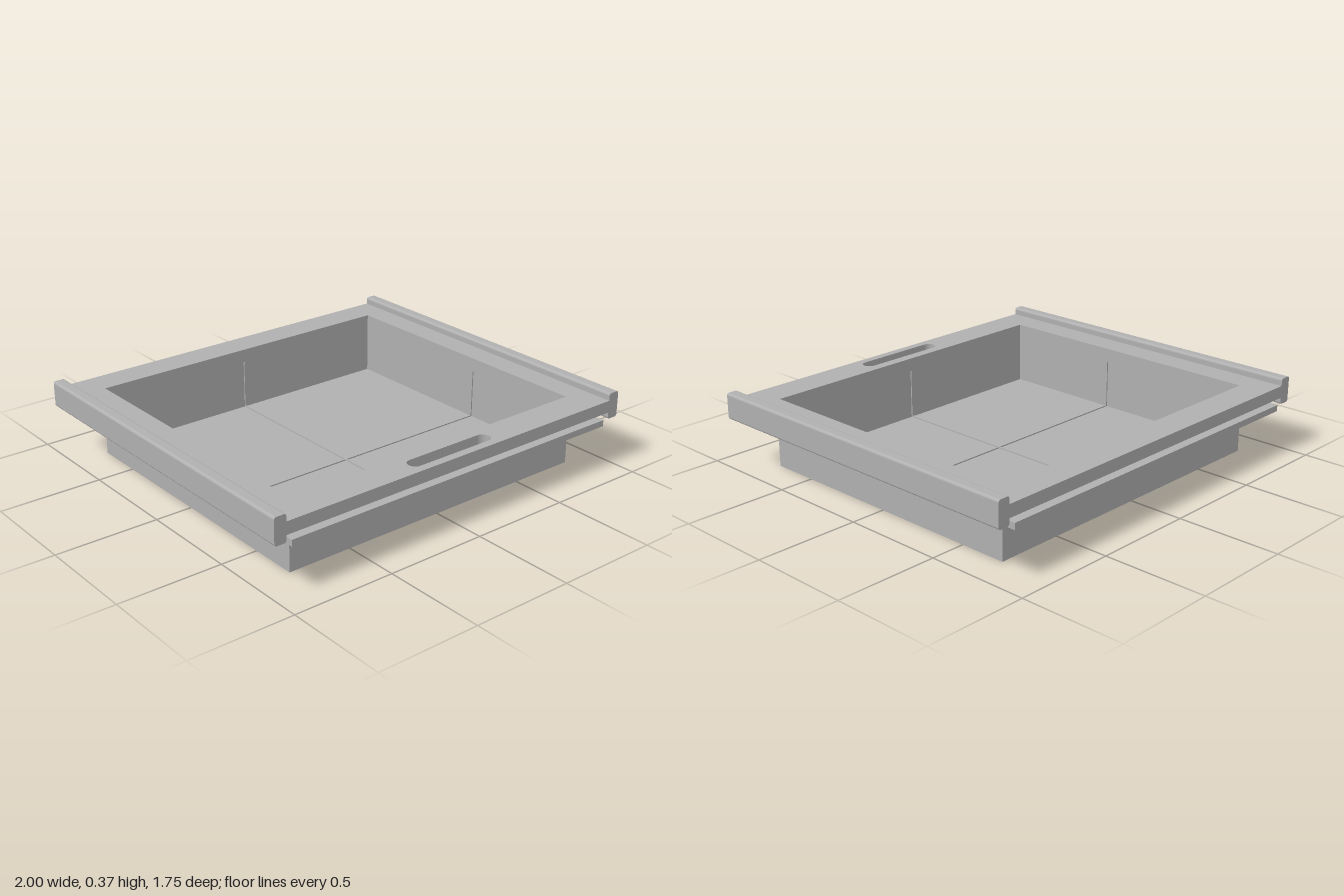
import * as THREE from 'three';

const DEPTH = 1.75;

export function createModel() {
  const model = new THREE.Group();
  model.name = 'recessedTray';
  const grey = new THREE.MeshStandardMaterial({ color: 0xb0b0b0 });
  grey.name = 'plain grey';

  const add = (name, geometry) => {
    const mesh = new THREE.Mesh(geometry, grey);
    mesh.name = name;
    model.add(mesh);
    return mesh;
  };
  const box = (name, x0, x1, y0, y1, z0, z1) =>
    add(name, new THREE.BoxGeometry(x1 - x0, y1 - y0, z1 - z0))
      .position.set((x0 + x1) / 2, (y0 + y1) / 2, (z0 + z1) / 2);

  // Rectangles and rounded outlines, in plan
  const trace = (path, x0, x1, y0, y1, r = 0) => {
    if (!r) {
      path.moveTo(x0, y0).lineTo(x1, y0).lineTo(x1, y1).lineTo(x0, y1).closePath();
      return path;
    }
    path.moveTo(x0 + r, y0);
    path.absarc(x1 - r, y0 + r, r, -Math.PI / 2, 0, false);
    path.absarc(x1 - r, y1 - r, r, 0, Math.PI / 2, false);
    path.absarc(x0 + r, y1 - r, r, Math.PI / 2, Math.PI, false);
    path.absarc(x0 + r, y0 + r, r, Math.PI, Math.PI * 1.5, false);
    return path;
  };
  // Horizontal plate with holes; shape y becomes -z
  const plate = (name, outline, holes, y0, y1) => {
    outline.holes.push(...holes);
    const g = new THREE.ExtrudeGeometry(outline, { depth: y1 - y0, bevelEnabled: false, curveSegments: 12 });
    g.rotateX(-Math.PI / 2);
    g.translate(0, y0, 0);
    add(name, g);
  };
  const rect = (x0, x1, y0, y1) => trace(new THREE.Shape(), x0, x1, y0, y1);
  const hole = (...a) => trace(new THREE.Path(), ...a);
  const opening = () => hole(-0.81, 0.82, -0.715, 0.725);

  // Top deck with the tray opening and finger slot
  plate('topDeck', rect(-0.95, 0.95, -DEPTH / 2, DEPTH / 2),
    [opening(), hole(-0.24, 0.23, -0.835, -0.765, 0.034)], 0.278, 0.338);

  // Lower flange, separated from the deck by a narrow gap
  plate('lowerFlange', rect(-0.915, 0.91, -DEPTH / 2, DEPTH / 2), [opening()], 0.217, 0.248);

  // Tray walls and floor
  plate('trayWalls', rect(-0.82, 0.83, -0.73, 0.73), [opening()], 0, 0.278);
  box('trayFloor', -0.815, 0.825, 0.0005, 0.025, -0.727, 0.722);

  // Side rails with softened edges
  for (const side of [-1, 1]) {
    const [x0, x1] = side < 0 ? [-1, -0.94] : [0.94, 1];
    const g = new THREE.ExtrudeGeometry(trace(new THREE.Shape(), x0, x1, 0.245, 0.374, 0.012),
      { depth: DEPTH, bevelEnabled: false, curveSegments: 4 });
    g.translate(0, 0, -DEPTH / 2);
    add(side < 0 ? 'rightRail' : 'leftRail', g);
  }

  // Fine divider ribs over the floor and up the walls
  const w = 0.004, t = 0.006, top = 0.27;
  box('lengthwiseFloorRib', -w - 0.003, w - 0.003, 0.02, 0.025 + t, -0.725, 0.715);
  box('crosswiseFloorRib', -0.81, 0.82, 0.02, 0.025 + t, 0.095 - w, 0.095 + w);
  box('backWallRib', -w - 0.003, w - 0.003, 0.025, top, -0.726, -0.725 + t);
  box('frontWallRib', -w - 0.003, w - 0.003, 0.025, top, 0.715 - t, 0.716);
  box('rightWallRib', -0.811, -0.81 + t, 0.025, top, 0.095 - w, 0.095 + w);
  box('leftWallRib', 0.82 - t, 0.821, 0.025, top, 0.095 - w, 0.095 + w);

  return model;
}
